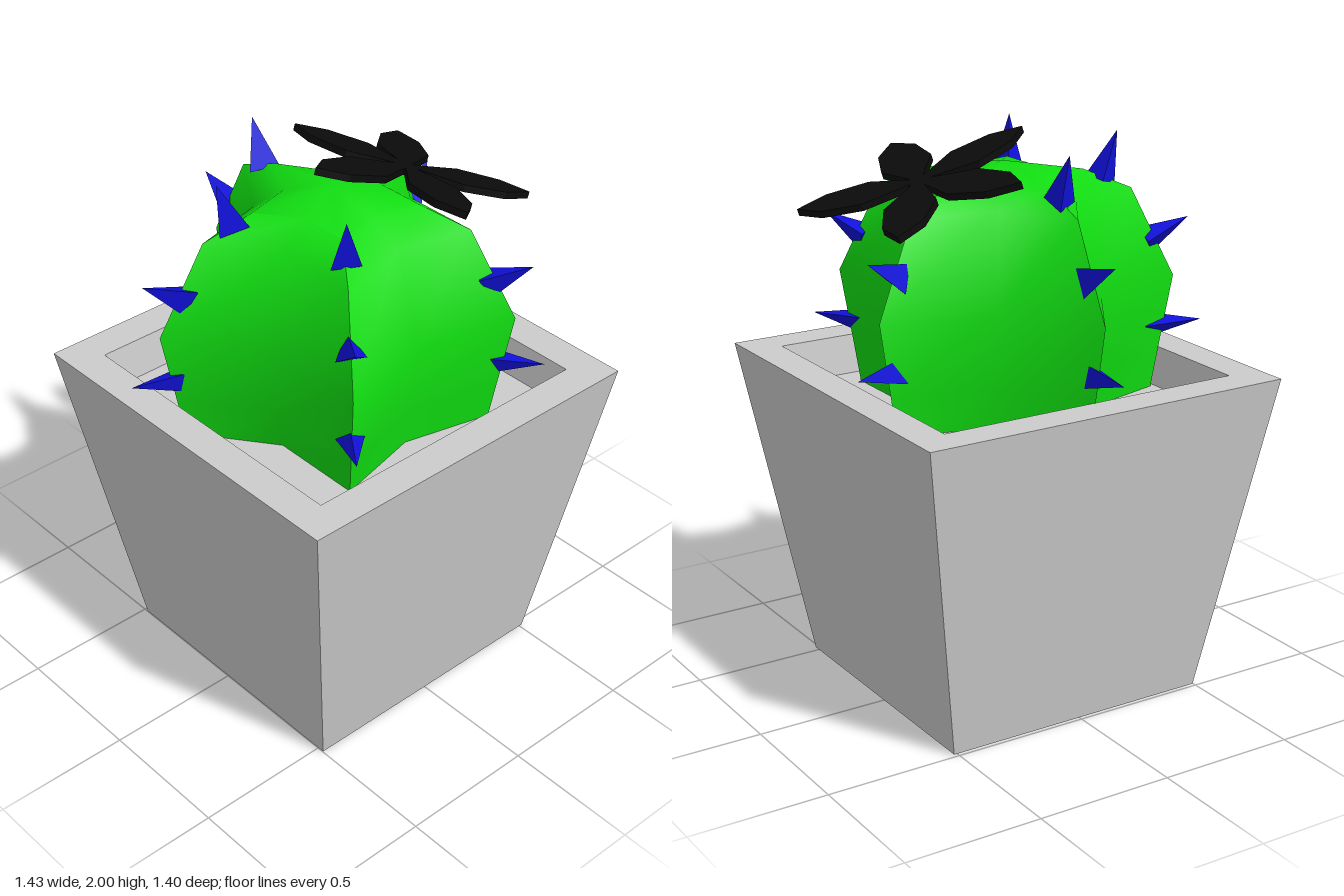
import * as THREE from 'three';
import { toCreasedNormals } from 'three/addons/utils/BufferGeometryUtils.js';

const CX = 0.02;       // axis of pot and cactus
const RIDGE = 0.627;   // widest ridge radius
const VALLEYS = [0.42, 0.385, 0.365, 0.365, 0.385];
const V2 = (x, y) => new THREE.Vector2(x, y);

const material = (color, flat = false) =>
  new THREE.MeshStandardMaterial({ color, flatShading: flat });

function named(mesh, name) {
  mesh.name = name;
  return mesh;
}

// Square tapered pot with a rim and a recessed soil floor
function makePot() {
  const profile = [[0, 0], [0.505, 0], [0.697, 1.18], [0.57, 1.18], [0.55, 1.04], [0, 1.04]]
    .map(([half, y]) => V2(half * Math.SQRT2, y));
  const geo = new THREE.LatheGeometry(profile, 4, Math.PI / 4);
  const pot = named(new THREE.Mesh(geo, material(0xcccccc, true)), 'pot');
  pot.position.set(CX, 0, -0.007);
  return pot;
}

// Five-ridged cactus body: star-shaped rings closed by an apex
function makeBody() {
  const rings = [[1.02, 0.875], [1.18, 0.92], [1.45, 1], [1.775, 0.74], [1.85, 0.46]];
  const pos = [], index = [], n = 10;
  rings.forEach(([y, s]) => {
    for (let k = 0; k < n; k++) {
      const a = k * Math.PI / 5;
      const r = s * (k % 2 ? RIDGE : VALLEYS[k / 2]);
      pos.push(CX + r * Math.cos(a), y, r * Math.sin(a));
    }
  });
  pos.push(CX, 1.895, 0);
  const apex = rings.length * n;
  for (let j = 0; j < rings.length; j++) {
    for (let k = 0; k < n; k++) {
      const a = j * n + k, b = j * n + (k + 1) % n;
      if (j === rings.length - 1) index.push(a, apex, b);
      else index.push(a, a + n, b, b, a + n, b + n);
    }
  }
  const geo = new THREE.BufferGeometry();
  geo.setAttribute('position', new THREE.Float32BufferAttribute(pos, 3));
  geo.setIndex(index);
  return named(new THREE.Mesh(toCreasedNormals(geo, 0.9), material(0x11dd11)), 'cactusBody');
}

// Three-sided spikes in tiers along the ridges
function makeSpikes() {
  const group = new THREE.Group();
  group.name = 'spikes';
  const mat = material(0x1111dd, true);
  const up = new THREE.Vector3(0, 1, 0);
  // base radius, base height, tip radius, tip height, ridges used
  const tiers = [
    [0.51, 1.27, 0.735, 1.28, [1, 3, 5, 7, 9]],
    [0.52, 1.58, 0.677, 1.66, [1, 3, 5, 7, 9]],
    [0.355, 1.81, 0.41, 1.98, [1, 3, 5]],
  ];
  for (const [r0, y0, r1, y1, ridges] of tiers) {
    for (const k of ridges) {
      const a = k * Math.PI / 5;
      const at = (r, y) => new THREE.Vector3(CX + r * Math.cos(a), y, r * Math.sin(a));
      const base = at(r0, y0), dir = at(r1, y1).sub(base);
      const length = dir.length();
      const geo = new THREE.ConeGeometry(0.06, length, 3).translate(0, length / 2, 0);
      const spike = named(new THREE.Mesh(geo, mat), 'spike');
      spike.position.copy(base);
      spike.quaternion.setFromUnitVectors(up, dir.normalize());
      group.add(spike);
    }
  }
  return group;
}

// Thin five-petalled flower, tilted towards the back
function makeFlower() {
  const flower = new THREE.Group();
  flower.name = 'flower';
  const half = [[0.025, 0], [0.025, 0.04], [0.092, 0.19], [0.07, 0.34]];
  const outline = [...half, [0, 0.435], ...half.map(([x, y]) => [-x, y]).reverse()];
  const shape = new THREE.Shape(outline.map(([x, y]) => V2(x, y)));
  const geo = new THREE.ExtrudeGeometry(shape, { depth: 0.025, bevelEnabled: false })
    .translate(0, 0, -0.0125).rotateX(Math.PI / 2);
  const mat = material(0x0b0b0b, true);
  for (const deg of [0, 72, 142, -131, -69]) {
    const petal = named(new THREE.Mesh(geo, mat), 'petal');
    petal.rotation.y = THREE.MathUtils.degToRad(deg);
    flower.add(petal);
  }
  flower.position.set(0.045, 1.845, -0.31);
  flower.rotation.x = -0.332;
  return flower;
}

export function createModel() {
  const model = new THREE.Group();
  model.name = 'pottedCactus';
  model.add(makePot(), makeBody(), makeSpikes(), makeFlower());
  return model;
}
